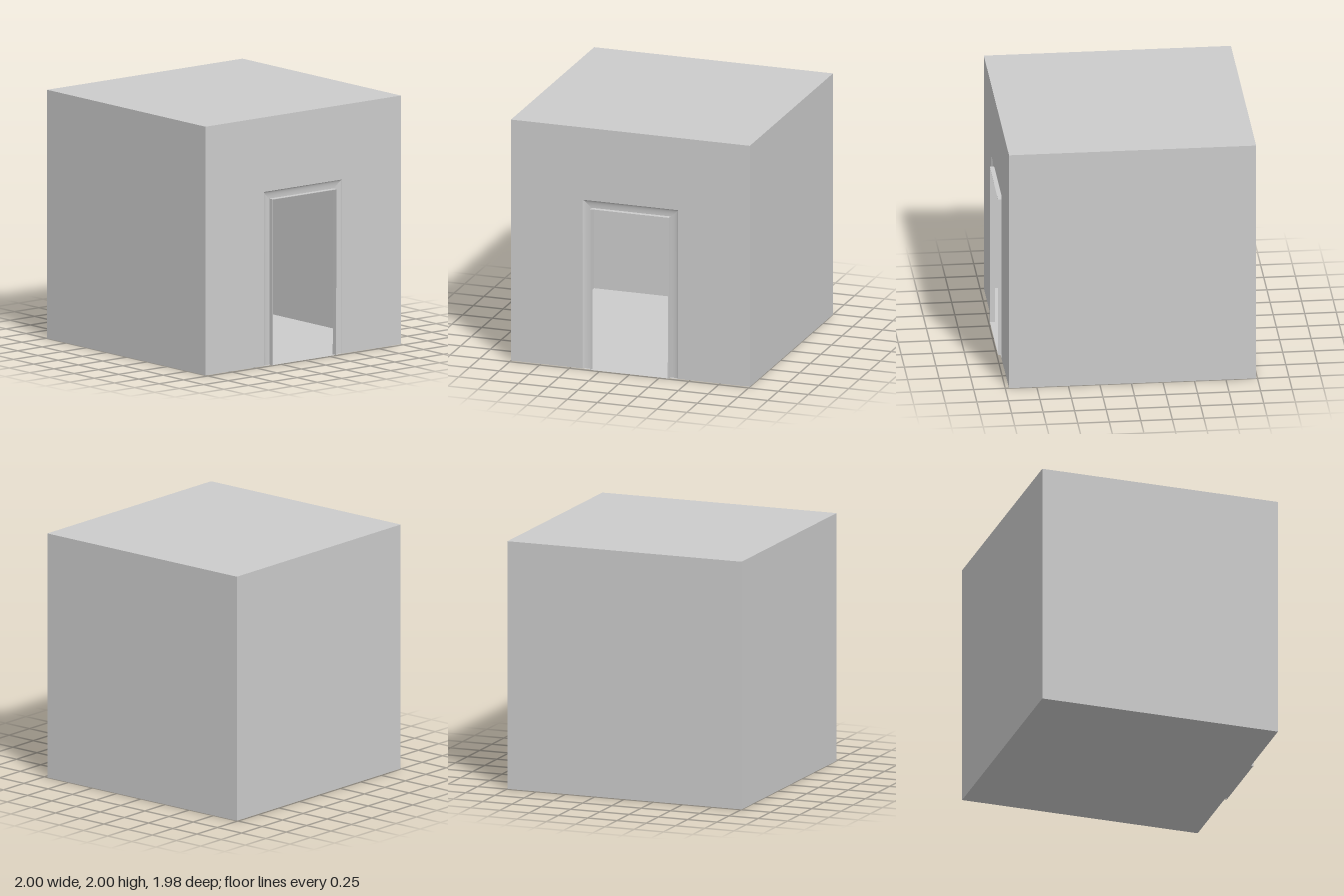
import * as THREE from 'three';

const material = new THREE.MeshStandardMaterial({ color: 0xcccccc, side: THREE.DoubleSide });
const BACK = -0.99, WALL = 0.97, LIP = 0.99, RECESS = 0.95;

function add(group, name, geometry) {
  const mesh = new THREE.Mesh(geometry, material);
  mesh.name = name;
  group.add(mesh);
  return mesh;
}

function panel(group, name, w, h, position, rx = 0, ry = 0) {
  const mesh = add(group, name, new THREE.PlaneGeometry(w, h));
  mesh.position.set(...position);
  mesh.rotation.set(rx, ry, 0);
}

// Smooth strip lofted between two ends of the same profile
function strip(startPoints, endPoints) {
  const positions = [], index = [];
  startPoints.forEach((p, i) => {
    positions.push(...p, ...endPoints[i]);
    if (i > 0) {
      const a = 2 * i - 2;
      index.push(a, a + 1, a + 2, a + 1, a + 3, a + 2);
    }
  });
  const geometry = new THREE.BufferGeometry();
  geometry.setAttribute('position', new THREE.Float32BufferAttribute(positions, 3));
  geometry.setIndex(index);
  geometry.computeVertexNormals();
  return geometry;
}

export function createModel() {
  const room = new THREE.Group();
  room.name = 'room';
  const depth = WALL - BACK, midZ = (WALL + BACK) / 2, q = Math.PI / 2;

  // Thin shell of the room
  panel(room, 'backWall', 2, 2, [0, 1, BACK], 0, Math.PI);
  panel(room, 'leftWall', depth, 2, [1, 1, midZ], 0, q);
  panel(room, 'rightWall', depth, 2, [-1, 1, midZ], 0, -q);
  panel(room, 'ceiling', 2, depth, [0, 2, midZ], -q);
  panel(room, 'floor', 2, depth, [0, 0, midZ], q);

  // Front wall around the doorway
  const outline = [[-1, 0], [-0.4, 0], [-0.4, 1.4], [0.4, 1.4], [0.4, 0], [1, 0], [1, 2], [-1, 2]];
  const wall = new THREE.Shape(outline.map(([x, y]) => new THREE.Vector2(x, y)));
  add(room, 'frontWall', new THREE.ShapeGeometry(wall)).position.z = WALL;

  // Coved recess, mitred at the two top corners
  const profile = [];
  for (let i = 0; i <= 8; i++) {
    const a = (i / 8) * q;
    profile.push([0.07 * (1 - Math.cos(a)), WALL - (WALL - RECESS) * Math.sin(a)]);
  }
  const corner = (side) => profile.map(([s, z]) => [side * (0.4 - s), 1.4 - s, z]);
  const foot = (side) => profile.map(([s, z]) => [side * (0.4 - s), 0, z]);
  add(room, 'rightRecess', strip(foot(-1), corner(-1)));
  add(room, 'topRecess', strip(corner(-1), corner(1)));
  add(room, 'leftRecess', strip(corner(1), foot(1)));

  // Slim door lining standing proud of the wall; the left jamb tapers upwards
  const lining = new THREE.Shape([
    [-0.33, 0], [-0.33, 1.335], [0.33, 1.335], [0.33, 0],
    [0.319, 0], [0.327, 1.332], [-0.325, 1.332], [-0.325, 0],
  ].map(([x, y]) => new THREE.Vector2(x, y)));
  const frame = new THREE.ExtrudeGeometry(lining, { depth: LIP - RECESS, bevelEnabled: false });
  add(room, 'doorFrame', frame).position.z = RECESS;

  // Threshold under the frame
  panel(room, 'threshold', 0.66, LIP - WALL, [0, 0.002, (LIP + WALL) / 2], -q);
  return room;
}
